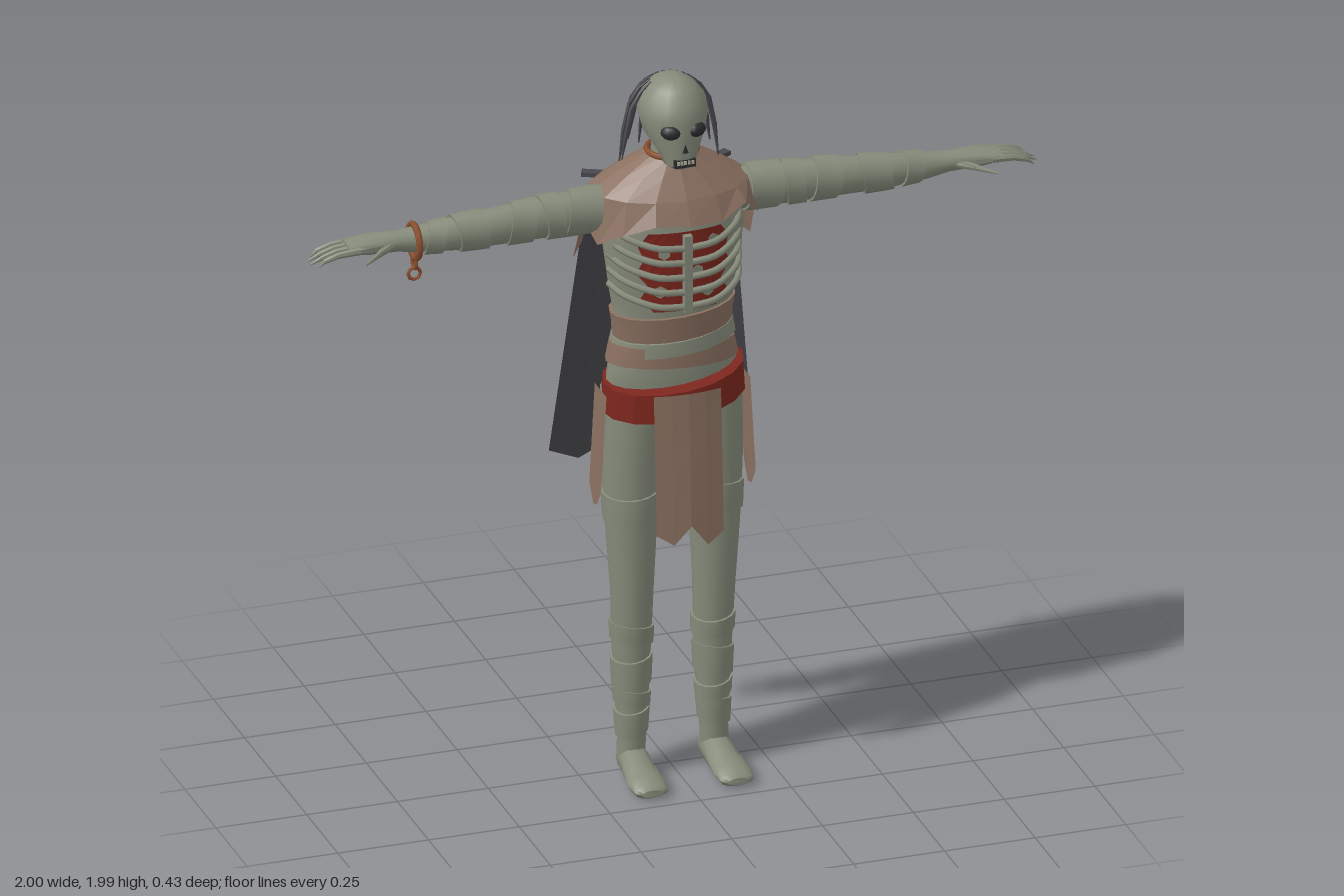
import * as THREE from 'three';
import { toCreasedNormals } from 'three/addons/utils/BufferGeometryUtils.js';

const mat = (name, color, open) => {
  const m = new THREE.MeshStandardMaterial({ color });
  m.name = name;
  if (open) m.side = THREE.DoubleSide;
  return m;
};

// Skin over elliptical rings [x, y, z, rx, rz], given bottom to top, with capped ends
function loft(rings, n = 14, { tweak, capped = true, crease = 0.7 } = {}) {
  const pos = [], idx = [];
  rings.forEach(([x, y, z, rx, rz], i) => {
    for (let j = 0; j < n; j++) {
      const a = (j / n) * Math.PI * 2;
      const p = new THREE.Vector3(x + rx * Math.cos(a), y, z + rz * Math.sin(a));
      if (tweak) tweak(p, i, j, a);
      pos.push(p.x, p.y, p.z);
    }
  });
  for (let i = 0; i < rings.length - 1; i++) for (let j = 0; j < n; j++) {
    const a = i * n + j, b = i * n + (j + 1) % n;
    idx.push(a, a + n, b, b, a + n, b + n);
  }
  if (capped) {
    const last = (rings.length - 1) * n;
    for (let j = 1; j < n - 1; j++) idx.push(0, j, j + 1, last, last + j + 1, last + j);
  }
  return finish(pos, idx, crease);
}

// Open cloth surface from a rule (u, v in 0..1) => [x, y, z]
function sheet(nu, nv, rule) {
  const pos = [], idx = [];
  for (let i = 0; i <= nv; i++) for (let j = 0; j <= nu; j++) pos.push(...rule(j / nu, i / nv, j, i));
  for (let i = 0; i < nv; i++) for (let j = 0; j < nu; j++) {
    const a = i * (nu + 1) + j, b = a + nu + 1;
    idx.push(a, b, a + 1, a + 1, b, b + 1);
  }
  return finish(pos, idx, 0.02);
}

function finish(pos, idx, crease) {
  const g = new THREE.BufferGeometry();
  g.setAttribute('position', new THREE.Float32BufferAttribute(pos, 3));
  g.setIndex(idx);
  return toCreasedNormals(g, crease);
}

// Ring of a limb at a given height
function ringAt(rings, y) {
  let i = 0;
  while (i < rings.length - 2 && rings[i + 1][1] < y) i++;
  const t = (y - rings[i][1]) / (rings[i + 1][1] - rings[i][1]);
  return rings[i].map((v, k) => v + (rings[i + 1][k] - v) * t);
}

// Bandage: a slightly tilted sleeve hugging a limb
function wrap(rings, y0, y1, grow, tilt, n = 14) {
  const band = [y0, (y0 + y1) / 2, y1].map((y) => {
    const r = ringAt(rings, y);
    return [r[0], y, r[2], r[3] + grow, r[4] + grow];
  });
  return loft(band, n, { tweak: (p, i, j, a) => { p.y += tilt * Math.cos(a + 0.6); } });
}

export function createModel() {
  const skin = mat('greyGreenSkin', 0x868b7a);
  const brown = mat('brownCloth', 0x8a7060, true);
  const dark = mat('charcoalCape', 0x48484e, true);
  const red = mat('darkRed', 0x7c261d, true);
  const rope = mat('rustRope', 0x8b4f30);
  const black = mat('blackHollow', 0x2b2c2e);
  const bone = mat('boneTeeth', 0xb4b09e);

  const model = new THREE.Group();
  const add = (name, geo, material, parent = model) => {
    const m = new THREE.Mesh(geo, material);
    m.name = name;
    parent.add(m);
    return m;
  };
  const lerp = THREE.MathUtils.lerp;

  // Torso and neck
  const torso = [
    [0, 1.02, 0.01, 0.15, 0.085], [0, 1.1, 0.015, 0.185, 0.1], [0, 1.19, 0.015, 0.172, 0.095],
    [0, 1.28, 0.015, 0.153, 0.092], [0, 1.4, 0.02, 0.175, 0.1], [0, 1.55, 0.02, 0.195, 0.106],
    [0, 1.63, 0.01, 0.19, 0.1], [0, 1.69, 0.005, 0.13, 0.08], [0, 1.73, 0.01, 0.058, 0.055],
    [0, 1.84, 0.02, 0.05, 0.05]];
  add('torso', loft(torso, 20), skin);
  add('upperWaistWrap', wrap(torso, 1.27, 1.34, 0.008, 0.012, 20), brown);
  add('lowerWaistWrap', wrap(torso, 1.18, 1.235, 0.008, -0.01, 20), brown);
  add('waistBandage', wrap(torso, 1.23, 1.27, 0.01, 0.015, 20), skin);

  // Open chest, sternum and ribs
  const edge = [0.1, 0.125, 0.11, 0.13, 0.1, 0.12, 0.085];
  add('openChest', sheet(8, 6, (u, v, j, i) => {
    const x = (u * 2 - 1) * edge[i];
    return [x, 1.585 - 0.225 * v, 0.02 + 0.114 * Math.sqrt(1 - (x / 0.2) ** 2)];
  }), red);
  [[-0.06, 1.53], [0.075, 1.55], [0.06, 1.41], [-0.07, 1.42], [0.03, 1.47]].forEach(([x, y]) => {
    const scrap = add('skinScrap', new THREE.CylinderGeometry(0.018, 0.014, 0.006, 6), skin);
    scrap.position.set(x, y, 0.022 + 0.114 * Math.sqrt(1 - (x / 0.2) ** 2));
    scrap.rotation.set(Math.PI / 2, 0, -x * 4);
  });
  add('sternum', new THREE.BoxGeometry(0.022, 0.22, 0.018), skin).position.set(0, 1.47, 0.146);
  for (const s of [1, -1]) for (let k = 0; k < 5; k++) {
    const y = 1.375 + k * 0.042;
    const path = new THREE.CatmullRomCurve3([[0.005, y, 0.146], [0.08, y + 0.008, 0.142],
      [0.155, y + 0.03, 0.088], [0.18, y + 0.045, 0.03]].map(([x, h, z]) => new THREE.Vector3(s * x, h, z)));
    add('rib', new THREE.TubeGeometry(path, 10, 0.009, 6), skin);
  }

  // Head
  add('skull', loft([
    [0, 1.752, 0.08, 0.025, 0.025], [0, 1.765, 0.075, 0.043, 0.05], [0, 1.8, 0.058, 0.056, 0.07],
    [0, 1.84, 0.03, 0.08, 0.097], [0, 1.89, 0.021, 0.092, 0.108], [0, 1.93, 0.02, 0.086, 0.1],
    [0, 1.965, 0.02, 0.06, 0.072], [0, 1.984, 0.02, 0.03, 0.036], [0, 1.99, 0.02, 0.006, 0.008]], 18), skin);
  for (const s of [1, -1]) {
    const eye = add('eyeSocket', new THREE.SphereGeometry(1, 12, 8), black);
    eye.scale.set(0.027, 0.02, 0.018);
    eye.position.set(s * 0.036, 1.866, 0.114);
    eye.rotation.y = s * 0.35;
  }
  const nose = add('noseHole', new THREE.ConeGeometry(0.012, 0.028, 4), black);
  nose.position.set(0, 1.822, 0.125);
  nose.scale.z = 0.5;
  add('mouth', new THREE.BoxGeometry(0.058, 0.022, 0.012), black).position.set(0, 1.777, 0.121);
  for (let k = -2; k <= 2; k++)
    add('tooth', new THREE.BoxGeometry(0.007, 0.011, 0.006), bone).position.set(k * 0.01, 1.78, 0.126);

  // Hair strands hanging around the back of the head
  for (let k = 0; k < 11; k++) {
    const a = -0.05 - (k / 10) * (Math.PI - 0.1), c = Math.cos(a), d = Math.sin(a);
    const at = (y, rx, rz, r) => [c * rx, y, 0.01 + d * rz, r, r];
    add('hairStrand', loft([at(1.73 + 0.025 * (k % 3), 0.133, 0.15, 0.002), at(1.82, 0.122, 0.135, 0.007),
      at(1.9, 0.105, 0.115, 0.008), at(1.945, 0.08, 0.088, 0.006), at(1.968, 0.055, 0.06, 0.003)], 6), dark);
  }

  // Neck rope
  const collar = add('neckRope', new THREE.TorusGeometry(0.066, 0.008, 6, 20), rope);
  collar.position.set(0, 1.775, 0.015);
  collar.rotation.x = Math.PI / 2;

  // Faceted shawl with a ragged hem, longer at the back
  const hem = [1.6, 1.58, 1.64, 1.61, 1.615, 1.62, 1.59, 1.55, 1.6, 1.46, 1.5, 1.48, 1.5, 1.47, 1.5, 1.46];
  add('shawl', loft([[0, 1.6, 0, 0.24, 0.17], [0, 1.675, -0.005, 0.215, 0.145],
    [0, 1.725, 0, 0.14, 0.105], [0, 1.77, 0.01, 0.068, 0.064]], 16, {
    capped: false, crease: 0.02,
    tweak: (p, i, j) => {
      if (i > 0) return;
      p.y = hem[j];
      if (j > 8) p.x *= 1.1;
    },
  }), brown);

  // Cape
  const capeHem = [0.06, 0.01, 0.04, 0, 0.035, 0, 0.045];
  add('cape', sheet(6, 4, (u, v, j) => {
    const w = u * 2 - 1;
    return [w * lerp(0.2, 0.28, v), lerp(1.62, 0.81 + capeHem[j], v), -lerp(0.145, 0.215, v) + 0.06 * w * w];
  }), dark);
  for (const s of [1, -1]) {
    const tab = add('capeTab', new THREE.BoxGeometry(0.08, 0.012, 0.025), dark);
    tab.position.set(s * 0.165, 1.672, -0.105);
    tab.rotation.y = s * 0.45;
  }

  // Sagging belt
  add('belt', loft([[0, 1.07, 0.025, 0.197, 0.13], [0, 1.15, 0.025, 0.192, 0.125]], 16, {
    crease: 0.3,
    tweak: (p, i, j, a) => { p.y += 0.018 * Math.cos(a) - 0.018 * Math.sin(a); },
  }), red);

  // Loincloths and hip cloths
  const frontHem = [0.74, 0.71, 0.76, 0.7, 0.73];
  add('frontLoincloth', sheet(4, 3, (u, v, j) =>
    [lerp(-0.095, 0.09, u), lerp(1.13, frontHem[j], v), lerp(0.162, 0.185, v) - 0.012 * (u * 2 - 1) ** 2]), brown);
  const backHem = [0.72, 0.67, 0.69, 0.74, 0.8];
  add('backLoincloth', sheet(4, 3, (u, v, j) =>
    [lerp(-0.09, 0.1, u), lerp(1.12, backHem[j], v), lerp(-0.112, -0.145, v)]), brown);
  const sideHem = [0.84, 0.79, 0.78, 0.83];
  for (const s of [1, -1]) add('hipCloth', sheet(3, 2, (u, v, j) =>
    [s * lerp(0.198, 0.213, v), lerp(1.11, sideHem[j], v), lerp(0.07, -0.025, u)]), brown);

  for (const s of [1, -1]) {
    // Leg
    const leg = [
      [s * 0.115, 0.05, 0.025, 0.038, 0.036], [s * 0.113, 0.12, 0.022, 0.038, 0.038],
      [s * 0.112, 0.25, 0.018, 0.046, 0.05], [s * 0.112, 0.38, 0.017, 0.052, 0.055],
      [s * 0.113, 0.52, 0.025, 0.056, 0.06], [s * 0.115, 0.72, 0.024, 0.068, 0.07],
      [s * 0.112, 0.9, 0.015, 0.08, 0.085], [s * 0.105, 1.1, 0.012, 0.085, 0.098]];
    add('leg', loft(leg, 16), skin);
    [[0.74, 0.82], [0.38, 0.43], [0.26, 0.34], [0.2, 0.24], [0.12, 0.19]].forEach(([a, b], i) =>
      add('legBandage', wrap(leg, a, b, 0.006, (i % 2 ? 0.01 : -0.01) * s), skin));

    // Foot, lofted from heel to toe
    const foot = add('foot', loft([
      [s * 0.113, -0.018, -0.035, 0.025, 0.028], [s * 0.113, 0.0, -0.04, 0.036, 0.04],
      [s * 0.114, 0.05, -0.042, 0.042, 0.042], [s * 0.116, 0.1, -0.033, 0.045, 0.033],
      [s * 0.118, 0.16, -0.026, 0.05, 0.026], [s * 0.118, 0.2, -0.021, 0.046, 0.019],
      [s * 0.118, 0.212, -0.019, 0.03, 0.01]], 12), skin);
    foot.rotation.x = Math.PI / 2;

    // Arm, built upright and laid outwards
    const arm = new THREE.Group();
    arm.name = s > 0 ? 'leftArm' : 'rightArm';
    arm.position.y = 1.63;
    arm.rotation.z = -s * Math.PI / 2;
    model.add(arm);
    const ring = ([h, x, z, rh, rz]) => [-s * h, x, z, rh, rz];
    const limb = [
      [0, 0.13, 0.01, 0.055, 0.05], [0, 0.25, 0.01, 0.06, 0.05], [-0.003, 0.4, 0.015, 0.055, 0.044],
      [-0.008, 0.58, 0.02, 0.048, 0.04], [-0.01, 0.7, 0.018, 0.036, 0.034],
      [-0.008, 0.76, 0.016, 0.028, 0.03], [-0.004, 0.84, 0.018, 0.026, 0.042],
      [-0.004, 0.9, 0.018, 0.015, 0.043]].map(ring);
    add('armAndPalm', loft(limb), skin, arm);
    [[0.2, 0.29], [0.31, 0.36], [0.38, 0.45], [0.52, 0.6], [0.63, 0.68]].forEach(([a, b], i) =>
      add('armBandage', wrap(limb, a, b, 0.006, i % 2 ? 0.01 : -0.01), skin, arm));
    for (let k = 0; k < 4; k++) {
      const z = -0.016 + k * 0.023, tip = k === 0 || k === 3 ? 0.985 : 1;
      add('finger', loft([[-0.004, 0.87, z, 0.011, 0.01], [-0.008, 0.93, z, 0.009, 0.008],
        [-0.02, 0.97, z, 0.007, 0.006], [-0.034, tip, z, 0.002, 0.002]].map(ring), 7), skin, arm);
    }
    add('thumb', loft([[-0.008, 0.77, 0.03, 0.014, 0.016], [-0.014, 0.82, 0.065, 0.01, 0.01],
      [-0.024, 0.87, 0.1, 0.003, 0.003]].map(ring), 8), skin, arm);
  }

  // Shackle and its hanging links on the right wrist
  const shackle = add('shackle', new THREE.TorusGeometry(0.046, 0.009, 6, 18), rope);
  shackle.position.set(-0.71, 1.615, 0.018);
  shackle.rotation.y = Math.PI / 2;
  [1.553, 1.522].forEach((y, i) => {
    const link = add('chainLink', new THREE.TorusGeometry(0.017, 0.005, 6, 8), rope);
    link.position.set(-0.71, y, 0.018);
    link.rotation.y = i ? 0 : Math.PI / 2;
  });

  return model;
}
